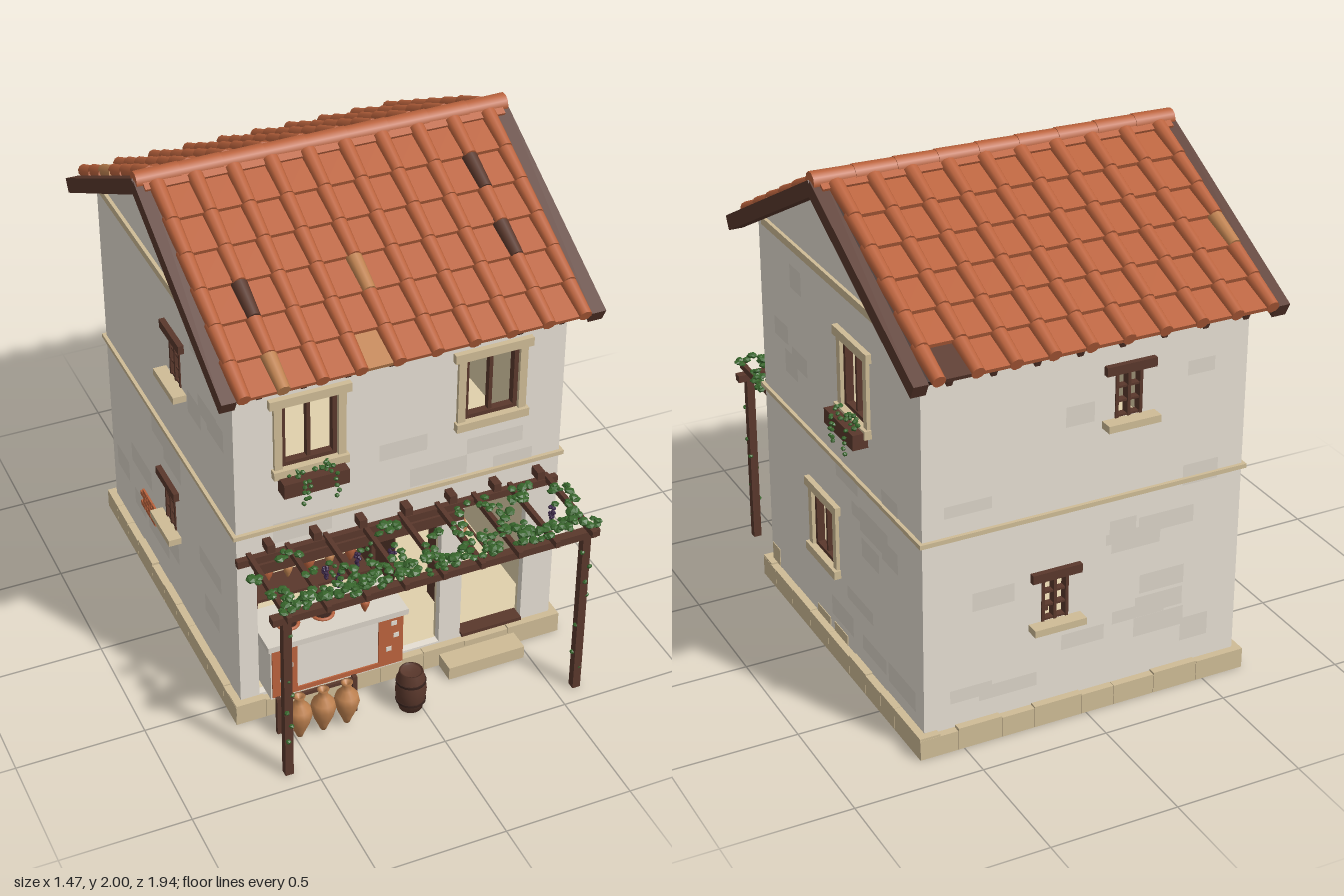
import * as THREE from 'three';
import { mergeGeometries } from 'three/addons/utils/BufferGeometryUtils.js';

const mat = (name, color) => Object.assign(new THREE.MeshStandardMaterial({ color }), { name });
const plaster = mat('plaster', 0xe5ded2), patch = mat('wornPlaster', 0xdad3c7), stone = mat('limestone', 0xcfbc96),
  cream = mat('interiorCream', 0xe0d0ab), wood = mat('wood', 0x5a382c), dark = mat('darkWood', 0x38231d),
  tile = mat('terracotta', 0xbb633d), clay = mat('paleClay', 0xbf8250), leaf = mat('leaf', 0x38662c), grape = mat('grape', 0x3a2548);

let seed = 7;
const rnd = (a = 0, b = 1) => {
  seed = (seed * 16807) % 2147483647;
  return a + (b - a) * seed / 2147483647;
};
const add = (parent, name, geo, m, x = 0, y = 0, z = 0) => {
  const o = new THREE.Mesh(geo, m);
  o.name = name;
  o.position.set(x, y, z);
  parent.add(o);
  return o;
};
const group = (parent, name) => {
  const g = new THREE.Group();
  g.name = name;
  parent.add(g);
  return g;
};
// box given by its limits on each axis
const box = (p, name, m, x0, x1, y0, y1, z0, z1) =>
  add(p, name, new THREE.BoxGeometry(x1 - x0, y1 - y0, z1 - z0), m, (x0 + x1) / 2, (y0 + y1) / 2, (z0 + z1) / 2);
// many small faceted blobs merged into one mesh; items are [x, y, z, radius, flatness]
const blobs = (p, name, m, items) => add(p, name, mergeGeometries(items.map(([x, y, z, r, f]) =>
  new THREE.IcosahedronGeometry(r, 0).scale(1, f, 1).rotateX(rnd(-.5, .5)).rotateY(rnd(0, 6)).translate(x, y, z))), m);
const trail = (out, x, y, z, len) => {
  for (let d = 0; d < len; d += .024) out.push([x + rnd(-.008, .008), y - d, z + rnd(-.006, .006), .01, .8]);
};

// amphora of a given height standing on y
const pot = (p, x, y, z, h, m = tile) => {
  const pts = [[0, 0], [.06, .01], [.1, .12], [.19, .33], [.25, .56], [.22, .7], [.11, .83], [.08, .95], [.12, 1], [.07, 1], [0, .9]]
    .map(([r, t]) => new THREE.Vector2(r * h, t * h));
  add(p, 'amphora', new THREE.LatheGeometry(pts, 12), m, x, y, z);
};

// window with stone surround and wooden casement, in wall space
function casement(p, u, y0, y1, w) {
  const g = group(p, 'casementWindow'), a = w / 2;
  box(g, 'lintel', stone, u - a - .045, u + a + .045, y1, y1 + .036, -.03, .022);
  box(g, 'sill', stone, u - a - .035, u + a + .035, y0 - .034, y0, -.03, .028);
  for (const s of [-1, 1]) {
    add(g, 'jamb', new THREE.BoxGeometry(.03, y1 - y0, .045), stone, u + s * (a + .012), (y0 + y1) / 2, -.008);
    add(g, 'casementSide', new THREE.BoxGeometry(.02, y1 - y0, .03), wood, u + s * (a - .01), (y0 + y1) / 2, -.015);
  }
  box(g, 'casementTop', wood, u - a, u + a, y1 - .016, y1, -.03, 0);
  box(g, 'casementBottom', wood, u - a, u + a, y0, y0 + .016, -.03, 0);
  box(g, 'mullion', wood, u - .007, u + .007, y0, y1, -.03, -.005);
}
// small barred window with wooden lintel
function barred(p, u, y0, y1, w) {
  const g = group(p, 'barredWindow'), a = w / 2;
  box(g, 'lintel', wood, u - a - .045, u + a + .045, y1, y1 + .035, -.03, .022);
  box(g, 'sill', stone, u - a - .05, u + a + .05, y0 - .028, y0, -.03, .052);
  for (const s of [-1, 0, 1]) box(g, 'bar', wood, u + s * (a - .007) - .006, u + s * (a - .007) + .006, y0, y1, -.03, .004);
  for (const t of [.03, .35, .66, .97]) {
    const y = y0 + (y1 - y0) * t;
    box(g, 'crossBar', wood, u - a, u + a, y - .004, y + .004, -.028, 0);
  }
}
function flowerBox(p, u, y) {
  const g = group(p, 'flowerBox'), l = [];
  box(g, 'planter', wood, u - .125, u + .125, y - .06, y, .01, .07);
  for (let i = 0; i < 16; i++) l.push([u + rnd(-.1, .1), y + rnd(.004, .03), rnd(.02, .06), rnd(.008, .013), .8]);
  for (const [d, n] of [[-.05, .11], [-.035, .09], [.075, .1]]) trail(l, u + d, y, .078, n);
  blobs(g, 'planterLeaves', leaf, l);
}

// one wall: plaster skin and cream lining, with rectangular holes [u0,u1,y0,y1]
function wall(p, name, rot, half, dist, gable, holes) {
  const g = group(p, name);
  g.rotation.y = rot;
  const face = group(g, name + 'Face');
  face.position.z = dist;
  const skin = (h, t, m, z, part) => {
    const s = new THREE.Shape([[-h, .01], [h, .01], [h, 1.55], ...(gable ? [[0, 1.92]] : []), [-h, 1.55]].map(q => new THREE.Vector2(...q)));
    for (const [a, b, c, d] of holes)
      s.holes.push(new THREE.Path([[a, c], [a, d], [b, d], [b, c]].map(q => new THREE.Vector2(...q))));
    add(face, part, new THREE.ExtrudeGeometry(s, { depth: t, bevelEnabled: false }), m, 0, 0, z);
  };
  skin(half, .03, plaster, -.03, 'plasterWall');
  skin(half - .031, .015, cream, -.045, 'wallLining');
  box(face, 'stringCourse', stone, -half - .014, half + .014, .853, .87, -.01, .014);
  if (gable) box(face, 'gableCourse', stone, -.64, .64, 1.56, 1.59, -.01, .014);
  // plinth blocks
  for (let u = -half - .03; u < half + .029;) {
    let e = u + rnd(.12, .2);
    if (e > half - .06) e = half + .03;
    box(face, 'plinthBlock', stone, u + .001, e - .001, 0, rnd(.08, .09), -.05, .03);
    u = e;
  }
  // worn plaster patches, kept clear of the openings
  for (let i = 0; i < 22; i++) {
    const w = rnd(.1, .24), h = rnd(.04, .1), u = rnd(-half + .13, half - .13), y = rnd(.15, 1.48);
    if (holes.some(q => u - w / 2 < q[1] + .06 && u + w / 2 > q[0] - .06 && y - h / 2 < q[3] + .06 && y + h / 2 > q[2] - .06)) continue;
    add(face, 'wornPatch', new THREE.PlaneGeometry(w, h), patch, u, y, .0015 + i * .00005);
  }
  return face;
}

function roof(p) {
  const r = group(p, 'roof'), tilt = Math.atan(.525), L = .925, pitch = .147;
  const cover = new THREE.CylinderGeometry(.025, .031, pitch + .02, 10).rotateX(Math.PI / 2);
  const pan = new THREE.BoxGeometry(.141, .016, pitch + .015);
  // odd tiles keyed by kind, column and row
  const odd = { f: { c13: wood, c81: wood, c83: wood, c43: clay, c15: clay, p35: clay }, b: { c93: clay, p05: wood } };
  for (const side of ['f', 'b']) {
    const turn = group(r, side === 'f' ? 'frontSlope' : 'backSlope');
    turn.rotation.y = side === 'f' ? 0 : Math.PI;
    const s = group(turn, 'slope');
    s.position.y = 1.955;
    s.rotation.x = tilt;
    box(s, 'roofDeck', dark, -.68, .68, -.02, 0, 0, L - .02);
    box(s, 'ridgeBed', tile, -.7, .7, 0, .026, 0, .055);
    for (const x of [-1, 1]) box(s, 'bargeBoard', wood, x * .7 - .028, x * .7 + .028, -.042, .015, 0, L);
    for (let i = 0; i < 8; i++) box(s, 'rafterEnd', wood, -.585 + i * .165, -.565 + i * .165, -.05, -.018, .72, L - .02);
    for (let j = 0; j < 6; j++) for (let i = 0; i < 10; i++) {
      const x = -.652 + i * .1433 + (side === 'b' ? .01 : 0), z = (j + .5) * pitch + .042;
      add(s, 'coverTile', cover, odd[side]['c' + i + j] || tile, x, .022, z).rotation.x = -.09;
      if (i < 9) add(s, 'panTile', pan, odd[side]['p' + i + j] || tile, x + .0716, .014, z).rotation.x = -.11;
    }
  }
  for (let i = 0; i < 9; i++)
    add(r, 'ridgeTile', new THREE.CylinderGeometry(.035, .038, .165, 10).rotateZ(Math.PI / 2), tile, -.64 + i * .16, 1.963, 0);
}

function pergola(p) {
  const g = group(p, 'pergola'), l = [], gr = [];
  for (const x of [-.595, .585]) {
    box(g, 'post', wood, x - .016, x + .016, 0, .73, .9, .932);
    for (let y = .1; y < .7; y += .07) l.push([x + rnd(-.018, .018), y, .92 + rnd(-.018, .018), .011, .8]);
  }
  box(g, 'frontBeam', wood, -.65, .635, .722, .752, .9, .935);
  box(g, 'wallBeam', wood, -.65, .635, .735, .765, .58, .605);
  for (let i = 0; i < 7; i++) box(g, 'corbel', wood, -.545 + i * .18, -.515 + i * .18, .79, .825, .575, .63);
  for (let i = 0; i < 9; i++) {
    const x = -.6 + i * .149;
    box(g, 'joist', wood, x - .009, x + .009, .752, .778, .58, .97);
    // leaves grow in small clumps along each joist
    for (let c = 0; c < 5; c++) {
      const cx = x + rnd(-.05, .06), cz = rnd(.62, .94), cy = rnd(.78, .8);
      for (let k = 0; k < 4; k++) l.push([Math.min(cx + rnd(-.025, .025), .62), cy + rnd(-.015, .02), cz + rnd(-.025, .02), rnd(.013, .022), .5]);
    }
  }
  for (let i = 0; i < 125; i++) l.push([rnd(-.62, .61), rnd(.77, .82), rnd(.87, .95), rnd(.013, .023), .6]);
  for (const [x, z] of [[-.35, .76], [.24, .8], [.52, .85], [-.18, .7], [.4, .88]]) trail(l, x, .77, z, .08);
  for (const [x, y, z] of [[-.31, .64, .61], [-.18, .65, .6], [-.05, .64, .61], [.39, .73, .78], [.54, .74, .74], [-.33, .73, .77]]) {
    for (let k = 0; k < 14; k++) {
      const t = k / 14;
      gr.push([x + rnd(-.016, .016) * (1 - t), y - t * .055, z + rnd(-.016, .016) * (1 - t), .008, 1]);
    }
    l.push([x + .012, y + .015, z, .016, .6]);
  }
  blobs(g, 'vineLeaves', leaf, l);
  blobs(g, 'grapes', grape, gr);
  // open hanging frame beside the doorway
  box(g, 'frameRod', wood, .268, .276, .63, .636, .58, .8);
  box(g, 'frameRod', wood, .268, .276, .63, .735, .795, .801);
}

function shop(p) {
  const g = group(p, 'shop');
  box(g, 'lintelBeam', wood, -.58, .25, .677, .722, .55, .6);
  box(g, 'step', stone, .16, .48, 0, .055, .58, .7);
  box(g, 'threshold', wood, .265, .52, .09, .105, .53, .59);
  // serving counter
  box(g, 'counterBody', plaster, -.545, -.01, .1, .345, .45, .635);
  box(g, 'counterTop', patch, -.56, .005, .345, .37, .43, .655);
  for (const x of [-.54, -.11]) {
    box(g, 'counterPanel', tile, x, x + .1, .11, .345, .635, .641);
    for (const [dx, y] of [[.03, .18], [.06, .24], [.05, .3]]) box(g, 'panelFleck', plaster, x + dx, x + dx + .022, y, y + .02, .641, .644);
  }
  box(g, 'counterBand', tile, -.44, -.11, .11, .13, .635, .641);
  for (const x of [-.44, -.3]) {
    add(g, 'counterWell', new THREE.CylinderGeometry(.04, .04, .004, 16), dark, x, .372, .55);
    add(g, 'wellRim', new THREE.TorusGeometry(.04, .007, 6, 16).rotateX(Math.PI / 2), tile, x, .373, .55);
  }
  pot(g, -.15, .37, .6, .075);
  // shelves behind the counter
  for (const x of [-.51, -.03]) box(g, 'shelfSide', wood, x - .008, x + .008, .09, .67, .28, .41);
  for (const y of [.39, .56, .665]) box(g, 'shelfBoard', wood, -.51, -.03, y - .013, y, .28, .41);
  for (const y of [.415, .56]) for (let i = 0; i < 5; i++) pot(g, -.44 + i * .085, y, .35, i % 2 ? .075 : .1, i % 2 ? clay : tile);
  // table, stored jars and slatted door leaves
  box(g, 'tableTop', wood, 0, .17, .275, .29, -.55, -.3);
  for (const x of [.01, .15]) for (const z of [-.54, -.32]) box(g, 'tableLeg', wood, x, x + .015, .09, .275, z, z + .015);
  add(g, 'bowl', new THREE.CylinderGeometry(.04, .02, .022, 12), tile, .04, .301, -.42);
  pot(g, .41, .1, .2, .18);
  pot(g, .47, .1, .1, .2, clay);
  for (const x of [.002, .255]) {
    box(g, 'doorLeaf', wood, x - .002, x + .002, .1, .66, .3, .53);
    for (let y = .12; y < .65; y += .04) box(g, 'doorSlatGap', dark, x + .001, x + .003, y, y + .012, .31, .52);
  }
  // wall bracket with a pale jug behind the side window
  box(g, 'bracketShelf', wood, .53, .6, .462, .474, -.055, .04);
  pot(g, .565, .474, -.015, .055, plaster);
}

function yard(p) {
  const g = group(p, 'yardGoods');
  // amphora rack
  for (const x of [-.545, -.24]) box(g, 'rackPost', wood, x - .009, x + .009, 0, .17, .7, .718);
  for (const y of [.15, .06]) box(g, 'rackRail', wood, -.55, -.235, y, y + .014, .703, .715);
  for (const x of [-.485, -.39, -.295]) pot(g, x, .01, .765, .195, clay);
  // barrel
  const prof = [[0, 0], [.045, 0], [.056, .05], [.06, .088], [.056, .125], [.046, .175], [.04, .175], [.04, .165], [0, .165]];
  add(g, 'barrel', new THREE.LatheGeometry(prof.map(q => new THREE.Vector2(...q)), 16), wood, -.035, 0, .77);
  for (const y of [.04, .13]) add(g, 'barrelHoop', new THREE.CylinderGeometry(.058, .058, .01, 16), dark, -.035, y, .77);
}

export function createModel() {
  const root = new THREE.Group();
  root.name = 'tavernHouse';
  const house = group(root, 'house');
  house.position.z = -.12;
  const W = .645, D = .7;
  // window list per wall: [centre, bottom, top, width]
  const hole = ([u, a, b, w]) => [u - w / 2, u + w / 2, a, b];
  const front = [[-.36, 1.12, 1.385, .22], [.35, 1.12, 1.385, .22]];
  const right = [[-.145, .385, .625, .2], [.165, 1.12, 1.385, .2]];
  const left = [[0, .425, .6, .11], [.13, 1.178, 1.355, .11]];
  const back = [[-.122, .425, .6, .11], [.16, 1.178, 1.355, .11]];
  const fw = wall(house, 'frontWall', 0, W, D, false, [...front.map(hole), [-.57, .17, .095, .69], [.26, .52, .095, .715]]);
  const rw = wall(house, 'rightWall', Math.PI / 2, D, W, true, right.map(hole));
  const lw = wall(house, 'leftWall', -Math.PI / 2, D, W, true, left.map(hole));
  const bw = wall(house, 'backWall', Math.PI, W, D, false, back.map(hole));
  front.forEach(w => casement(fw, ...w));
  right.forEach(w => casement(rw, ...w));
  left.forEach(w => barred(lw, ...w));
  back.forEach(w => barred(bw, ...w));
  flowerBox(fw, -.36, 1.09);
  flowerBox(rw, .165, 1.11);
  // exposed brickwork and bare stone
  for (let j = 0; j < 4; j++) for (let i = 0; i < 3; i++) {
    const u = -.35 + i * .056 + (j % 2) * .025;
    box(lw, 'exposedBrick', tile, u, u + .05, .27 + j * .024, .291 + j * .024, 0, .008);
  }
  for (const [u, w, h] of [[-.69, .07, .07], [-.24, .12, .03], [-.08, .12, .035]]) box(rw, 'bareStone', stone, u, u + w, .085, .09 + h, 0, .003);
  // floors
  box(house, 'foundation', dark, -.61, .61, 0, .085, -.665, .665);
  box(house, 'groundFloor', cream, -.61, .61, .085, .093, -.66, .66);
  box(house, 'upperFloor', cream, -.61, .61, .75, .79, -.66, .66);
  roof(house);
  pergola(root);
  shop(root);
  yard(root);
  return root;
}
